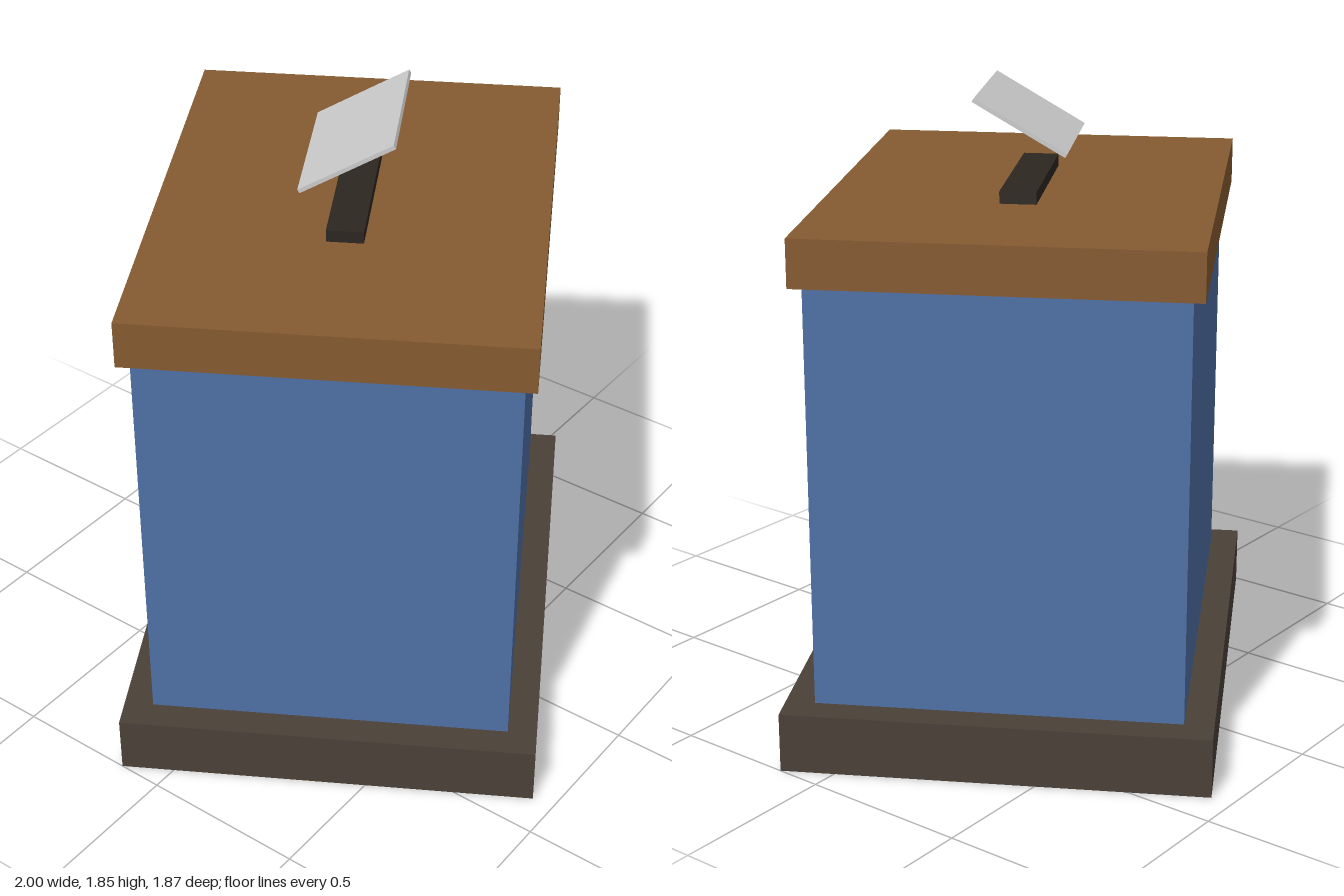
import * as THREE from 'three';

export function createModel() {
  const model = new THREE.Group();
  model.name = 'ballotBox';

  // Everything shares one turn about the vertical axis
  const box = new THREE.Group();
  box.name = 'turnedBox';
  box.rotation.y = Math.PI / 6;
  model.add(box);

  // A centred block sitting at height y
  function block(name, color, w, h, d, y) {
    const material = new THREE.MeshStandardMaterial({ color });
    const mesh = new THREE.Mesh(new THREE.BoxGeometry(w, h, d), material);
    mesh.name = name;
    mesh.position.y = y + h / 2;
    box.add(mesh);
    return mesh;
  }

  block('base', 0x4a4038, 1.596, 0.177, 1.235, 0);
  block('body', 0x4f70a5, 1.418, 1.243, 1.063, 0.177);
  block('lid', 0x855a30, 1.486, 0.14, 1.13, 1.42);
  block('slot', 0x2c2620, 0.532, 0.036, 0.107, 1.56);

  // Paper slip hovering above the slot, front edge raised
  const paper = block('paper', 0xcccccc, 0.461, 0.0124, 0.309, 1.766);
  paper.rotation.x = -Math.PI / 6;

  return model;
}
